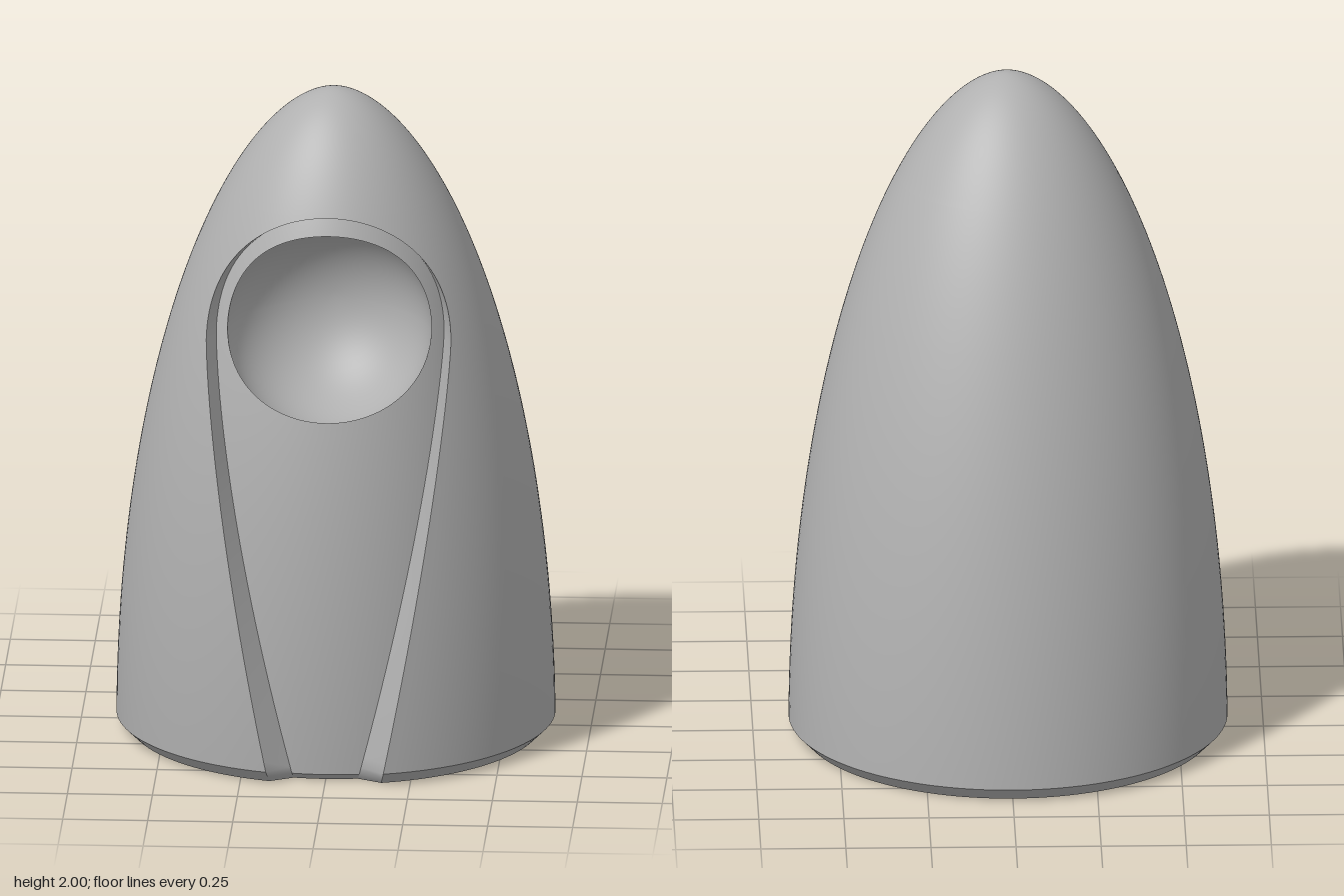
import * as THREE from 'three';
import { mergeVertices } from 'three/addons/utils/BufferGeometryUtils.js';

const TAU = Math.PI * 2;
const SHOULDER = 1.3;                       // height where the recess is widest
const BOWL = new THREE.Vector3(0, 1.325, 0.36), BOWL_R = 0.3;

// Leaning ogive: centre line and radius at each height
const centreZ = y => 0.012 + 0.069 * y;
const ogive = y => 0.645 * Math.pow(Math.max(0, 1 - y * y / 4), 0.55);
const bodyR = y => Math.min(ogive(y), 0.605 + y);
const panelR = y => Math.min(ogive(y) - 0.073, 0.552 + y);
const onSurface = (x, y, r) => [x, y, centreZ(y) + Math.sqrt(Math.max(0, r * r - x * x))];

// Half widths of the recess below the shoulder
const outerHalf = y => 0.36 - 0.137 * Math.pow(SHOULDER - y, 1.35);
const innerHalf = y => 0.335 - 0.167 * Math.pow(SHOULDER - y, 1.4);

// Right half of the recess rim, bottom to top: outer point and matching inner point
function recessRim() {
  const rim = [0, 0.02].map(y => ({ y, w: outerHalf(y), yi: y, wi: innerHalf(y) }));
  for (let k = 0; k < 40; k++) {
    const y = 0.04 + (SHOULDER - 0.04) * k / 40;
    rim.push({ y, w: outerHalf(y), yi: y, wi: innerHalf(y) });
  }
  for (let k = 0; k <= 32; k++) {
    const a = Math.PI / 2 * k / 32, s = Math.sin(a), c = k === 32 ? 0 : Math.cos(a);
    rim.push({ y: SHOULDER + 0.39 * s, w: 0.36 * c, yi: SHOULDER + 0.375 * s, wi: 0.335 * c });
  }
  return rim;
}

// Smooth surface through a grid of points
function grid(rows, cols, point) {
  const pos = [], index = [], n = cols + 1;
  for (let i = 0; i <= rows; i++) for (let j = 0; j <= cols; j++) pos.push(...point(i, j));
  for (let i = 0; i < rows; i++) for (let j = 0; j < cols; j++) {
    const a = i * n + j, b = a + 1, c = b + n, d = a + n;
    index.push(a, b, c, a, c, d);
  }
  let g = new THREE.BufferGeometry();
  g.setAttribute('position', new THREE.Float32BufferAttribute(pos, 3));
  g.setIndex(index);
  g = mergeVertices(g, 1e-5);
  g.computeVertexNormals();
  return g;
}

export function createModel() {
  const group = new THREE.Group();
  const grey = new THREE.MeshStandardMaterial({ color: 0xb0b0b0, side: THREE.DoubleSide });
  grey.name = 'grey';
  const add = (name, geometry) => {
    const mesh = new THREE.Mesh(geometry, grey);
    mesh.name = name;
    group.add(mesh);
  };

  const rim = recessRim();
  const mirrored = list => [...list, ...list.slice(0, -1).reverse().map(p => ({ ...p, w: -p.w, wi: -p.wi }))];

  // Outer shell, open along the recess and closed above it
  const COLS = 120;
  const shellPoint = ({ y, w }, j) => {
    const r = bodyR(y), a = r > 1e-6 ? Math.asin(Math.min(1, w / r)) : 0;
    const t = a + (TAU - 2 * a) * j / COLS;
    return [r * Math.sin(t), y, centreZ(y) + r * Math.cos(t)];
  };
  const levels = rim.slice(2), top = rim[rim.length - 1].y;
  for (let k = 1; k <= 28; k++) {
    levels.push({ y: k === 28 ? 2 : 2 - (2 - top) * Math.pow(1 - k / 28, 2), w: 0 });
  }
  add('shell', grid(levels.length - 1, COLS, (i, j) => shellPoint(levels[i], j)));

  // Bevel around the foot
  add('footBevel', grid(2, COLS, (i, j) => shellPoint(rim[i], j)));

  // Slanted wall of the recess
  const wall = mirrored(rim);
  add('recessWall', grid(1, wall.length - 1, (i, j) => {
    const p = wall[j];
    return i ? onSurface(p.wi, p.yi, panelR(p.yi)) : onSurface(p.w, p.y, bodyR(p.y));
  }));

  // Recessed panel, from its outline in to the lip of the bowl
  const outline = mirrored(rim.slice(1)).map(p => [p.wi, p.yi]);
  const half = rim[1].wi;
  for (let k = 1; k <= 10; k++) outline.push([-half + 2 * half * k / 10, rim[1].yi]);
  const cy = 1.34;
  const v = new THREE.Vector3();
  const lip = outline.map(([x, y]) => {
    let lo = 0, hi = 1;
    for (let k = 0; k < 40; k++) {
      const m = (lo + hi) / 2, py = cy + (y - cy) * m;
      v.set(...onSurface(x * m, py, panelR(py)));
      if (v.distanceTo(BOWL) < BOWL_R) lo = m; else hi = m;
    }
    return [x * lo, cy + (y - cy) * lo];
  });
  add('recessPanel', grid(24, outline.length - 1, (i, j) => {
    const s = i / 24;
    const x = outline[j][0] * (1 - s) + lip[j][0] * s, y = outline[j][1] * (1 - s) + lip[j][1] * s;
    return onSurface(x, y, panelR(y));
  }));

  // Hollow spherical bowl
  add('bowl', grid(24, lip.length - 1, (i, j) => {
    const [x, y] = lip[j];
    v.set(...onSurface(x, y, panelR(y))).sub(BOWL).normalize();
    const polar = Math.acos(-v.z) * (1 - i / 24), turn = Math.atan2(v.y, v.x);
    return [
      BOWL_R * Math.sin(polar) * Math.cos(turn),
      BOWL.y + BOWL_R * Math.sin(polar) * Math.sin(turn),
      BOWL.z - BOWL_R * Math.cos(polar),
    ];
  }));

  // Small bevel under the panel
  add('panelBevel', grid(1, 10, (i, j) => {
    const p = rim[i];
    return onSurface(p.wi * (j / 5 - 1), p.yi, panelR(p.yi));
  }));

  // Flat underside with the recess notch
  const edge = [];
  for (let j = COLS; j >= 0; j--) edge.push(shellPoint(rim[0], j));
  for (let j = 0; j <= 10; j++) edge.push(onSurface(rim[0].wi * (1 - j / 5), 0, panelR(0)));
  edge.push(edge[0]);
  add('underside', grid(1, edge.length - 1, (i, j) => (i ? [0, 0, centreZ(0)] : edge[j])));

  return group;
}
